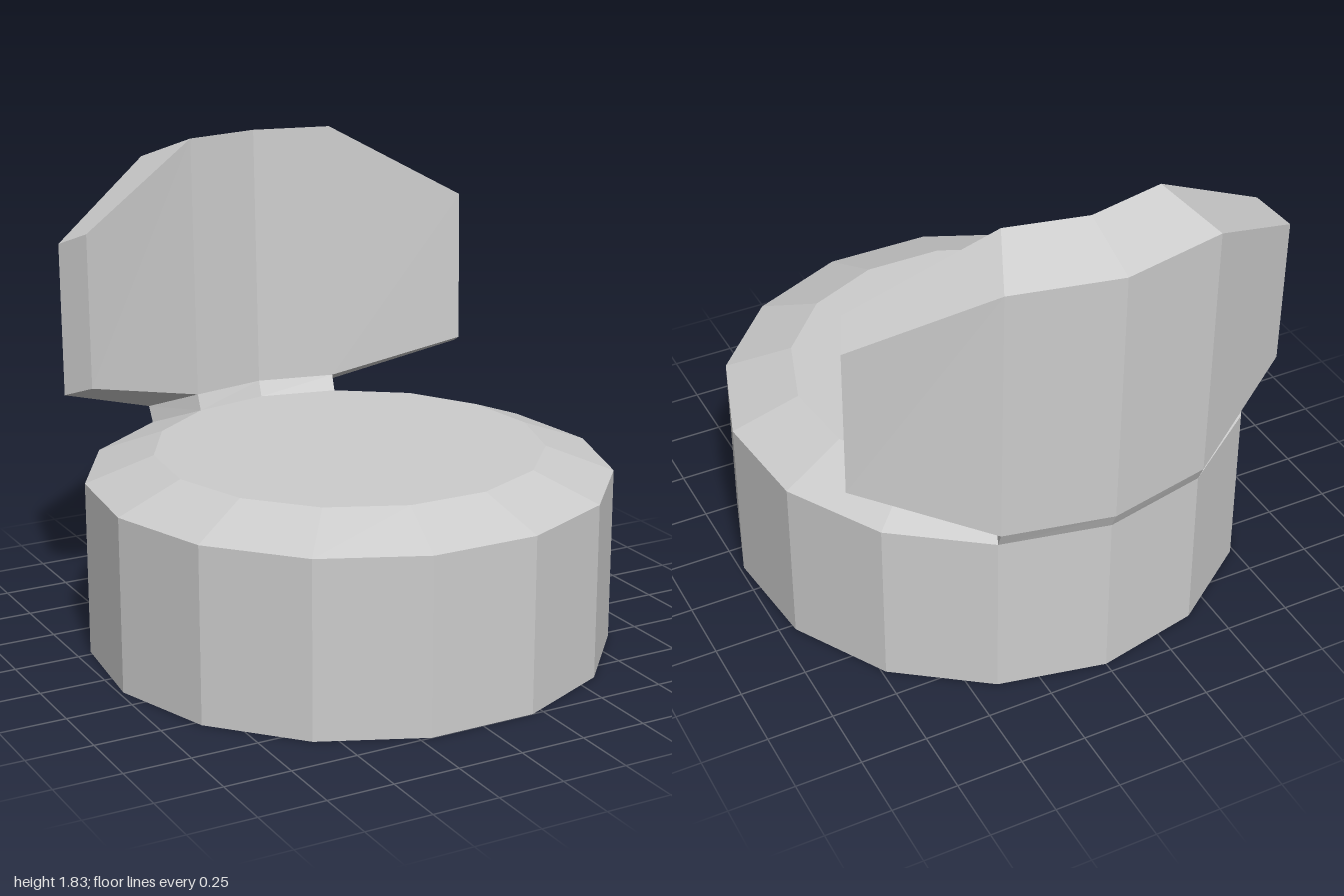
import * as THREE from 'three';

const SIDES = 15, STEP = (Math.PI * 2) / SIDES;
const R_SEAT = 0.99, R_TOP = 0.734, Y_RIM = 0.665, Y_TOP = 0.76, Z_SEAT = 0.032;

// Mesh from a list of quads, corners counter-clockwise
function quadMesh(name, quads, material) {
  const positions = [];
  for (const [a, b, c, d] of quads) positions.push(...a, ...b, ...c, ...a, ...c, ...d);
  const geometry = new THREE.BufferGeometry();
  geometry.setAttribute('position', new THREE.Float32BufferAttribute(positions, 3));
  geometry.computeVertexNormals();
  const mesh = new THREE.Mesh(geometry, material);
  mesh.name = name;
  return mesh;
}

// Quads joining point p to point q of neighbouring sections s and t
const join = (s, t, p, q) => [s[p], t[p], t[q], s[q]];

export function createModel() {
  const model = new THREE.Group();
  model.name = 'chair';
  const grey = new THREE.MeshStandardMaterial({ color: 0xcccccc, flatShading: true });
  grey.name = 'plain grey';

  // Round seat: drum, bevel (open where the neck grows out), top and underside
  const seat = new THREE.Group();
  seat.name = 'seat';
  const addSeat = (name, geometry, y) => {
    const mesh = new THREE.Mesh(geometry, grey);
    mesh.name = name;
    mesh.position.set(0, y, Z_SEAT);
    seat.add(mesh);
  };
  const start = -6.5 * STEP;
  addSeat('seatDrum', new THREE.CylinderGeometry(R_SEAT, R_SEAT, Y_RIM, SIDES, 1, true, start), Y_RIM / 2);
  addSeat('seatBevel', new THREE.CylinderGeometry(R_TOP, R_SEAT, Y_TOP - Y_RIM, SIDES - 2, 1, true,
    start, (SIDES - 2) * STEP), (Y_TOP + Y_RIM) / 2);
  const disc = (r, up) => new THREE.CircleGeometry(r, SIDES, Math.PI / 2)
    .rotateX(up ? -Math.PI / 2 : Math.PI / 2).rotateY(up ? 0 : Math.PI);
  addSeat('seatTop', disc(R_TOP, true), Y_TOP);
  addSeat('seatUnderside', disc(R_SEAT, false), 0);
  model.add(seat);

  // Backrest sections: inner bottom, inner top, outer top, outer bottom
  const mirror = section => section.map(([x, y, z]) => [-x, y, z]);
  const end = [[0.805, 0.95, -0.51], [0.805, 1.54, -0.52], [0.865, 1.485, -0.65], [0.865, 0.9, -0.64]];
  const shoulder = [[0.3, 0.82, -0.66], [0.3, 1.83, -0.685], [0.405, 1.735, -0.915], [0.405, 0.725, -0.9]];
  const middle = [[0, 0.82, -0.722], [0, 1.83, -0.75], [0, 1.735, -1], [0, 0.725, -0.985]];
  const sections = [mirror(end), mirror(shoulder), middle, shoulder, end];
  const back = [];
  for (let i = 0; i < 4; i++) {
    const s = sections[i], t = sections[i + 1];
    for (let k = 0; k < 3; k++) back.push(join(s, t, k, k + 1));
    if (i === 0 || i === 3) back.push(join(s, t, 3, 0)); // wing undersides
  }
  const [a, b, c, d] = end, [ma, mb, mc, md] = sections[0];
  back.push([a, d, c, b], [ma, mb, mc, md]);
  model.add(quadMesh('backrest', back, grey));

  // Neck joining the rear bevel of the seat to the backrest
  const rim = (r, y, i) => {
    const angle = Math.PI - i * STEP;
    return [r * Math.sin(angle), y, Z_SEAT + r * Math.cos(angle)];
  };
  const neckSections = [-1, 0, 1].map(i =>
    [rim(R_TOP, Y_TOP, i), sections[i + 2][0], sections[i + 2][3], rim(R_SEAT, Y_RIM, i)]);
  const neck = [];
  for (let i = 0; i < 2; i++) {
    neck.push(join(neckSections[i], neckSections[i + 1], 0, 1));
    neck.push(join(neckSections[i], neckSections[i + 1], 2, 3));
  }
  const [l, , r] = neckSections;
  neck.push([r[0], r[3], r[2], r[1]], [l[0], l[1], l[2], l[3]]);
  model.add(quadMesh('neck', neck, grey));

  return model;
}
